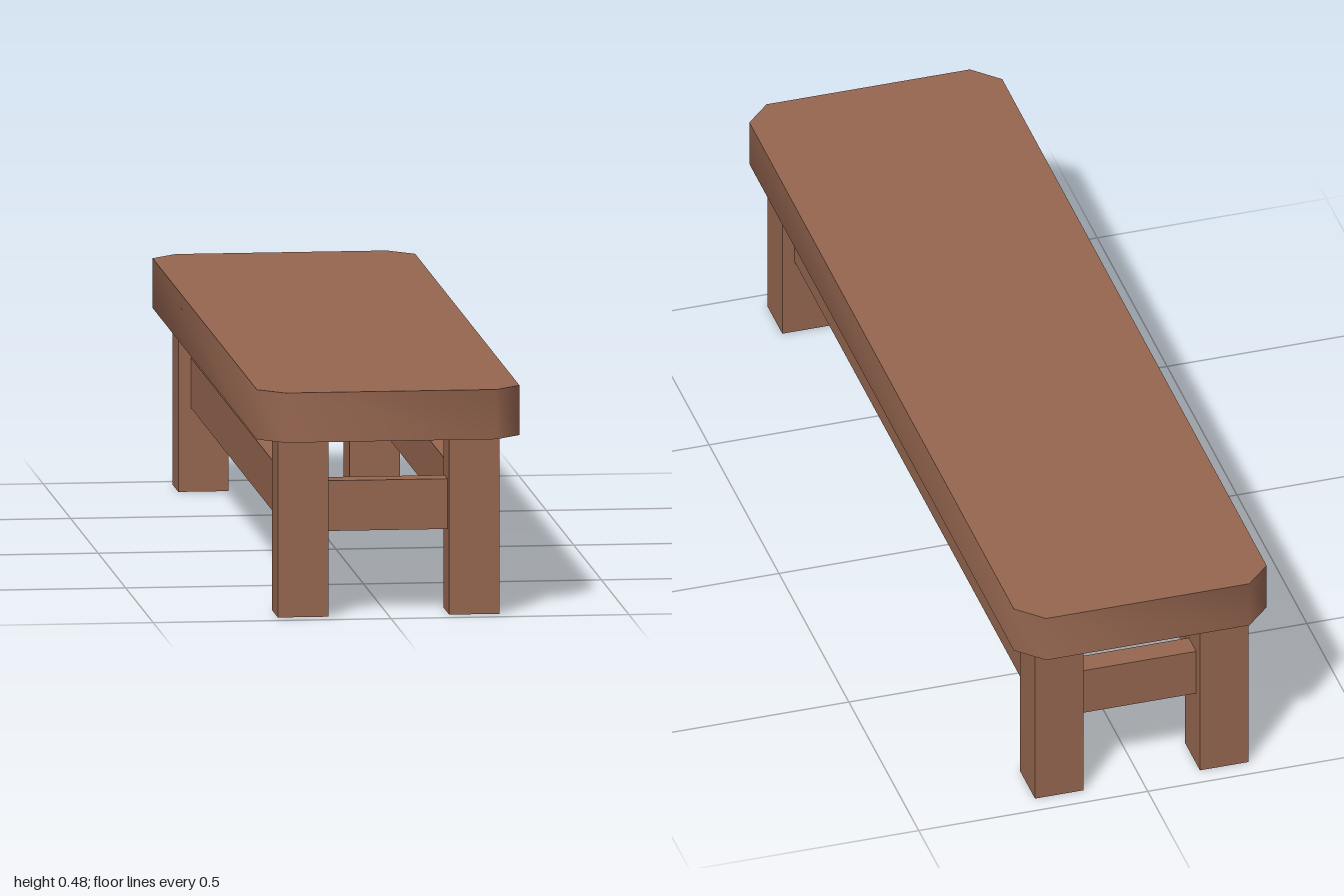
import * as THREE from 'three';
import { toCreasedNormals } from 'three/addons/utils/BufferGeometryUtils.js';

export function createModel() {
  const group = new THREE.Group();
  group.name = 'bench';
  const wood = new THREE.MeshStandardMaterial({ color: 0x966650 });

  function add(name, geometry, x, y, z) {
    const mesh = new THREE.Mesh(geometry, wood);
    mesh.name = name;
    mesh.position.set(x, y, z);
    group.add(mesh);
  }

  const width = 0.106; // leg width, also the height of the rails and seat
  const legX = 0.18, legZ = 0.904;
  const seatBottom = 0.375, railY = 0.23;
  const railThickness = width / 2;

  // Seat: slab with cut corners, shaded smoothly around its rim
  const hx = 0.276, hz = 1, cut = 0.054;
  const outline = new THREE.Shape([
    [hx - cut, -hz], [hx, -hz + cut], [hx, hz - cut], [hx - cut, hz],
    [-hx + cut, hz], [-hx, hz - cut], [-hx, -hz + cut], [-hx + cut, -hz],
  ].map(([x, y]) => new THREE.Vector2(x, y)));
  const slab = new THREE.ExtrudeGeometry(outline, { depth: 0.105, bevelEnabled: false });
  slab.rotateX(-Math.PI / 2);
  add('seat', toCreasedNormals(slab, Math.PI / 3), 0, seatBottom, 0);

  // Four square legs
  for (const [sx, side] of [[1, 'Left'], [-1, 'Right']]) {
    for (const [sz, end] of [[1, 'front'], [-1, 'back']]) {
      add(`${end}${side}Leg`, new THREE.BoxGeometry(width, seatBottom, width),
        sx * legX, seatBottom / 2, sz * legZ);
    }
    // Long rail between the legs of one side
    add(`long${side}Rail`, new THREE.BoxGeometry(railThickness, width, 2 * legZ - width),
      sx * legX, railY, 0);
  }

  // Short rails across each end
  for (const [sz, end] of [[1, 'front'], [-1, 'back']]) {
    add(`${end}Rail`, new THREE.BoxGeometry(2 * legX - width, width, railThickness),
      0, railY, sz * legZ);
  }

  return group;
}
